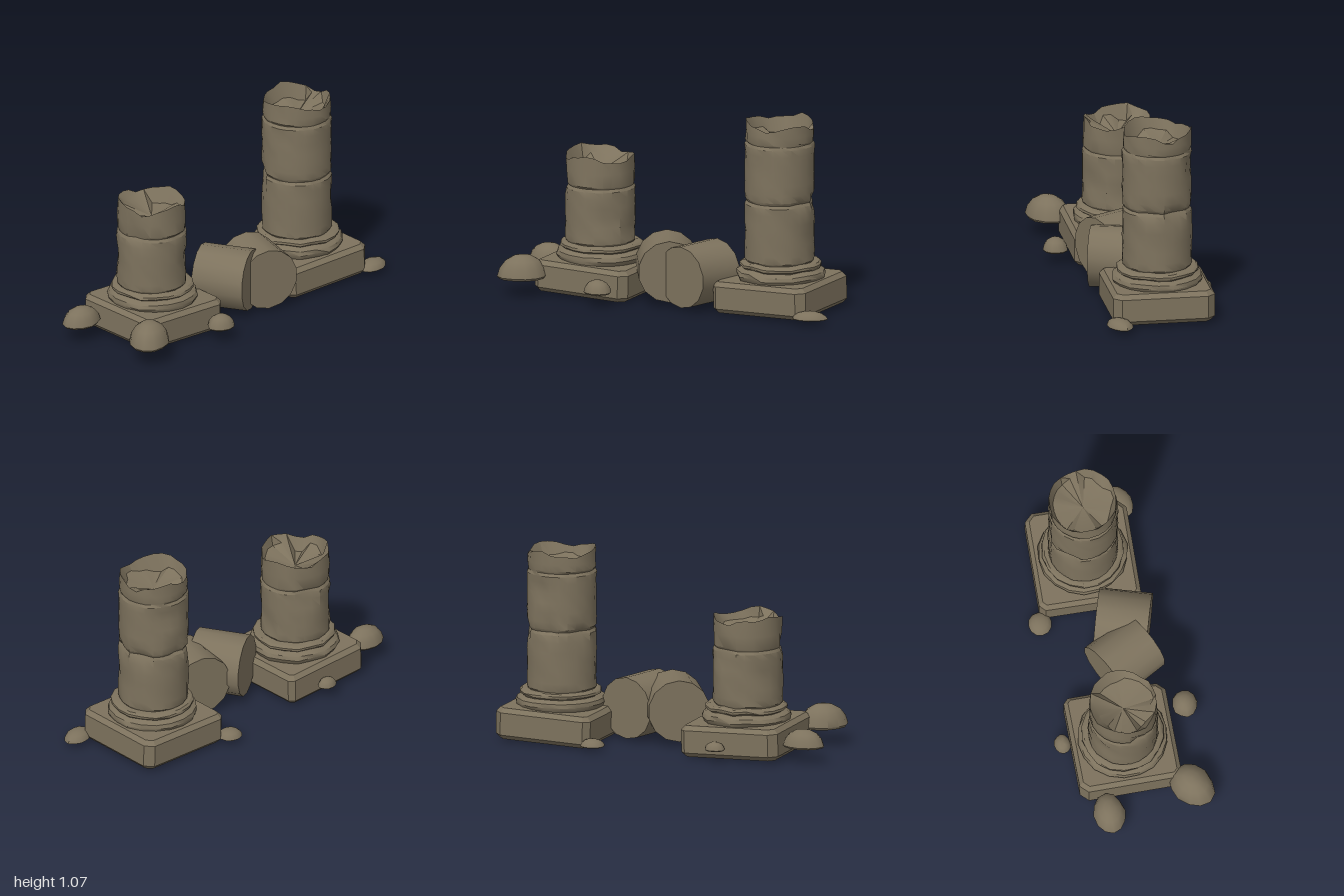
import * as THREE from 'three';
import { toCreasedNormals } from 'three/addons/utils/BufferGeometryUtils.js';

const stone = new THREE.MeshStandardMaterial({ color: 0x7d725d });
stone.name = 'weathered stone';

// Repeatable noise in -1..1
function noise(a, b, seed) {
  const s = Math.sin(a * 127.1 + b * 311.7 + seed * 74.7) * 43758.5453;
  return (s - Math.floor(s)) * 2 - 1;
}

function part(name, geometry, crease = 0.6) {
  const mesh = new THREE.Mesh(toCreasedNormals(geometry, crease), stone);
  mesh.name = name;
  return mesh;
}

// Turned shape whose vertices are moved by rule(radius, y, angle, ring, segment) -> [radius, y]
function turned(profile, segments, rule) {
  const geo = new THREE.LatheGeometry(profile.map(([r, y]) => new THREE.Vector2(r, y)), segments);
  const pos = geo.attributes.position;
  for (let i = 0; i <= segments; i++) {
    const seg = i % segments;
    const angle = (seg / segments) * Math.PI * 2;
    profile.forEach(([r, y], ring) => {
      const [r2, y2] = r > 0.0001 ? rule(r, y, angle, ring, seg) : [0, y];
      pos.setXYZ(i * profile.length + ring, r2 * Math.sin(angle), y2, r2 * Math.cos(angle));
    });
  }
  return geo;
}

// Square slab with bevelled edges and knocked-off corners
function plinth(cuts, tilt) {
  const h = 0.26;
  const corners = [[-h, -h], [h, -h], [h, h], [-h, h]];
  const points = [];
  corners.forEach(([x, y], i) => {
    const c = cuts[i];
    const a = new THREE.Vector2(x - Math.sign(x) * c, y);
    const b = new THREE.Vector2(x, y - Math.sign(y) * c);
    points.push(...(i % 2 ? [a, b] : [b, a]));
  });
  const geo = new THREE.ExtrudeGeometry(new THREE.Shape(points), {
    depth: 0.125, bevelEnabled: true, bevelThickness: 0.025, bevelSize: 0.023, bevelSegments: 1,
  });
  geo.rotateX(-Math.PI / 2);
  const mesh = part('plinth', geo, 0.3);
  mesh.position.y = 0.037;
  mesh.rotation.z = tilt;
  return mesh;
}

// Two worn rolls under the shaft
function baseMoulding(seed) {
  const profile = [
    [0.22, 0.165], [0.238, 0.185], [0.248, 0.208], [0.243, 0.23], [0.222, 0.242],
    [0.212, 0.247], [0.226, 0.257], [0.226, 0.27], [0.212, 0.281], [0.17, 0.284],
  ];
  return part('baseMoulding', turned(profile, 18, (r, y, a, ring, s) =>
    [r + 0.004 * noise(s, ring, seed), y + 0.005 * noise(s, 3, seed)]));
}

// Stacked drums, chipped at the joints, ending in a broken hollow top
function shaft(joints, top, chips, seed) {
  const profile = [];
  for (let d = 0; d < joints.length - 1; d++) {
    const y0 = joints[d], y1 = joints[d + 1];
    profile.push([0.182, y0], [0.192, y0 + 0.016]);
    for (let k = 1; k < 6; k++) profile.push([0.192, y0 + ((y1 - y0) * k) / 6]);
    profile.push([0.192, y1 - 0.016], [0.182, y1]);
  }
  const last = joints[joints.length - 1];
  profile.push([0.188, last + 0.012], [0.188, (last + top) / 2], [0.186, top]);
  const rim = profile.length - 1;
  profile.push([0.158, top - 0.06], [0, top - 0.1]);

  return part('shaft', turned(profile, 24, (r, y, a, ring, s) => {
    if (ring === rim) {
      const wave = 0.014 * Math.sin(3 * a + seed) + 0.016 * noise(s >> 1, 5, seed);
      return [r + 0.005 * noise(s, 8, seed), y + wave];
    }
    if (ring > rim) return [r + 0.015 * noise(s >> 1, 9, seed), y + 0.035 * noise(s >> 1, 6, seed)];
    let radius = r + 0.003 * noise(s, ring, seed);
    for (const [ca, cy, size, depth] of chips) {
      const da = Math.atan2(Math.sin(a - ca), Math.cos(a - ca)) * 0.19;
      const dist = Math.hypot(da, y - cy) / size;
      if (dist < 1) radius -= depth * Math.min(1, 1.6 * (1 - dist));
    }
    return [radius, y];
  }), 0.55);
}

function column(name, x, z, turn, cuts, tilt, joints, top, chips, seed) {
  const group = new THREE.Group();
  group.name = name;
  const slab = plinth(cuts, tilt);
  slab.rotation.y = turn;
  const moulding = baseMoulding(seed);
  const body = shaft(joints, top, chips, seed);
  body.position.x = -0.008;
  group.add(slab, moulding, body);
  group.position.set(x, 0, z);
  return group;
}

export function createModel() {
  const model = new THREE.Group();
  model.name = 'ruinedColumns';

  // Chips: [angle, height, size, depth]
  model.add(
    column('shortColumn', -0.495, -0.043, -0.03, [0.02, 0.03, 0.015, 0.03], -0.03,
      [0.275, 0.6], 0.765,
      [[-1.25, 0.62, 0.06, 0.02], [0.6, 0.42, 0.08, 0.012], [1.5, 0.36, 0.07, 0.012],
        [2.7, 0.56, 0.09, 0.018], [-2.3, 0.45, 0.07, 0.012]], 2),
    column('tallColumn', 0.598, -0.035, -0.05, [0.015, 0.03, 0.03, 0.02], 0.025,
      [0.275, 0.62, 0.95], 1.05,
      [[1.15, 0.62, 0.05, 0.02], [1.95, 0.61, 0.06, 0.022], [2.75, 0.86, 0.09, 0.016],
        [3.1, 0.64, 0.06, 0.02], [-2.2, 0.6, 0.07, 0.02], [1.4, 0.45, 0.07, 0.008]], 5),
  );

  // Toppled drums between the columns: x, y, z, turn
  [[-0.04, 0.2, 0.065, 0.49], [0.165, 0.188, 0.1, -0.32]].forEach(([x, y, z, turn], i) => {
    const geo = new THREE.CylinderGeometry(0.172, 0.172, 0.292, 14);
    geo.rotateX(Math.PI / 2);
    const drum = part('fallenDrum' + (i + 1), geo);
    drum.rotation.y = turn;
    drum.position.set(x, y, z);
    model.add(drum);
  });

  // Flat-bottomed rubble: x, base y, z, half width, height, half depth, turn
  const dome = [[0, 0], [0.92, 0], [1, 0.1], [0.9, 0.45], [0.68, 0.75], [0.36, 0.94], [0, 1]];
  [
    [-0.885, 0.09, -0.2, 0.115, 0.1, 0.086, 0],
    [-0.825, 0.1, 0.275, 0.14, 0.132, 0.112, 0.6],
    [-0.34, 0.075, 0.338, 0.079, 0.075, 0.069, 0],
    [-0.428, 0.07, -0.367, 0.057, 0.048, 0.046, 0],
    [0.3, 0.03, -0.337, 0.07, 0.042, 0.066, 0],
    [0.905, 0.033, 0.24, 0.097, 0.045, 0.066, 0.25],
  ].forEach(([x, y, z, w, h, d, turn], i) => {
    const geo = turned(dome, 12, (r, yy, a, ring, s) => [r * (1 + 0.05 * noise(s, 1, i)), yy]);
    geo.scale(w, h, d);
    const rock = part('rubble' + (i + 1), geo, 0.8);
    rock.rotation.y = turn;
    rock.position.set(x, y, z);
    model.add(rock);
  });

  return model;
}
